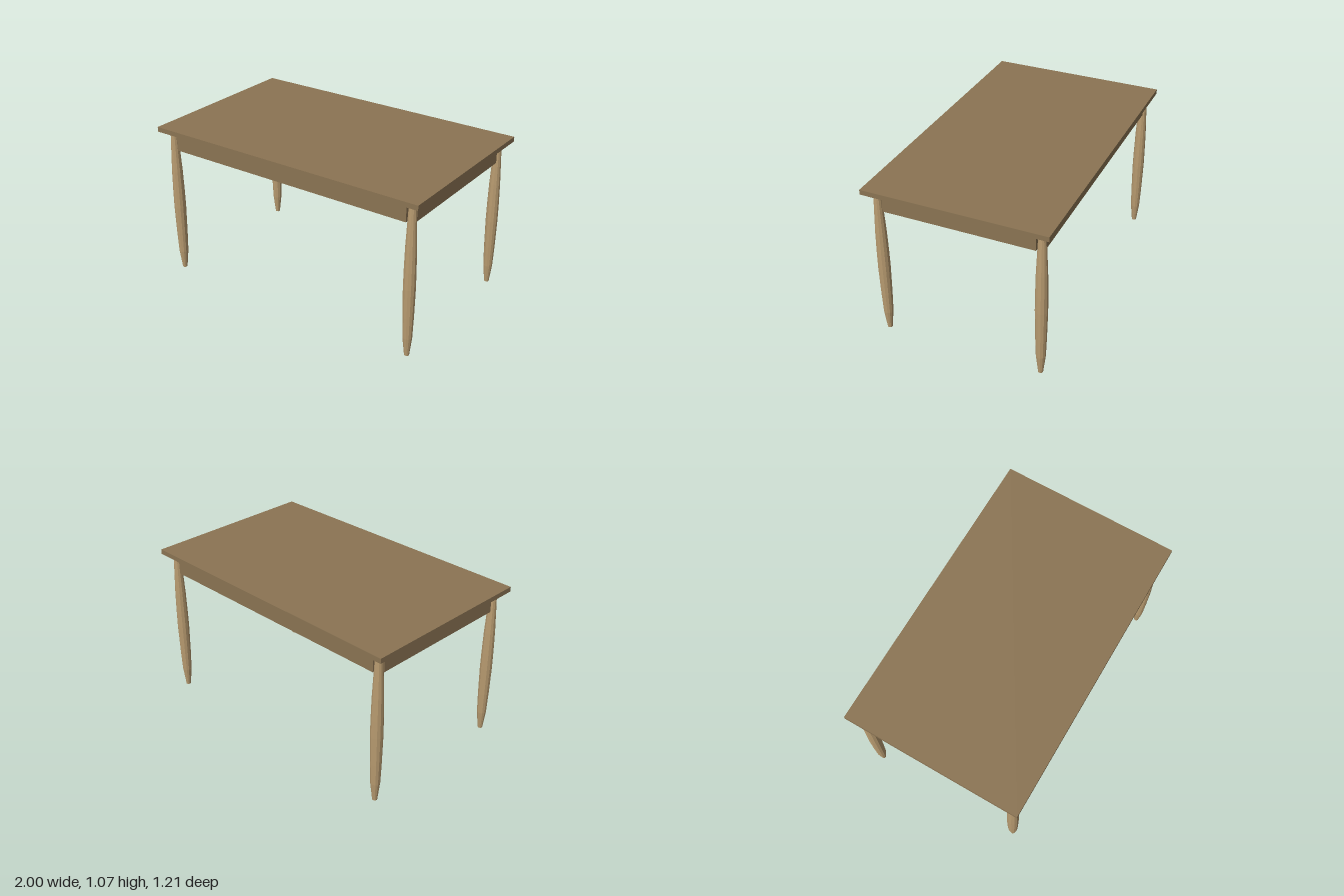
import * as THREE from 'three';

export function createModel() {
  const table = new THREE.Group();
  table.name = 'table';

  const darkWood = new THREE.MeshStandardMaterial({ color: 0x8b7453 });
  darkWood.name = 'dark wood';
  const lightWood = new THREE.MeshStandardMaterial({ color: 0xb89b70, flatShading: true });
  lightWood.name = 'light wood';

  const legX = 0.924, legZ = 0.533;
  const underside = 1.04, topThickness = 0.033;

  function board(name, w, h, d, x, y, z) {
    const mesh = new THREE.Mesh(new THREE.BoxGeometry(w, h, d), darkWood);
    mesh.name = name;
    mesh.position.set(x, y, z);
    table.add(mesh);
  }

  // Table top
  board('tableTop', 2, topThickness, 1.21, 0, underside + topThickness / 2, 0);

  // Aprons between the legs, in line with the leg centres
  const apronHeight = 0.13, apronThickness = 0.025;
  const apronY = underside - apronHeight / 2;
  for (const s of [1, -1]) {
    board(s > 0 ? 'frontApron' : 'backApron', 1.78, apronHeight, apronThickness, 0, apronY, s * legZ);
    board(s > 0 ? 'leftApron' : 'rightApron', apronThickness, apronHeight, 1.0, s * legX, apronY, 0);
  }

  // Turned legs: radius and height pairs, closed at both ends
  const profile = [
    [0, 0], [0.016, 0], [0.031, 0.13], [0.036, 0.28], [0.04, 0.48],
    [0.039, 0.6], [0.036, 0.75], [0.029, 0.91], [0.023, underside], [0, underside],
  ].map(([r, y]) => new THREE.Vector2(r, y));
  const legGeometry = new THREE.LatheGeometry(profile, 12, Math.PI / 12);

  for (const sx of [1, -1]) {
    for (const sz of [1, -1]) {
      const leg = new THREE.Mesh(legGeometry, lightWood);
      leg.name = (sz > 0 ? 'front' : 'back') + (sx > 0 ? 'Left' : 'Right') + 'Leg';
      leg.position.set(sx * legX, 0, sz * legZ);
      table.add(leg);
    }
  }
  return table;
}
